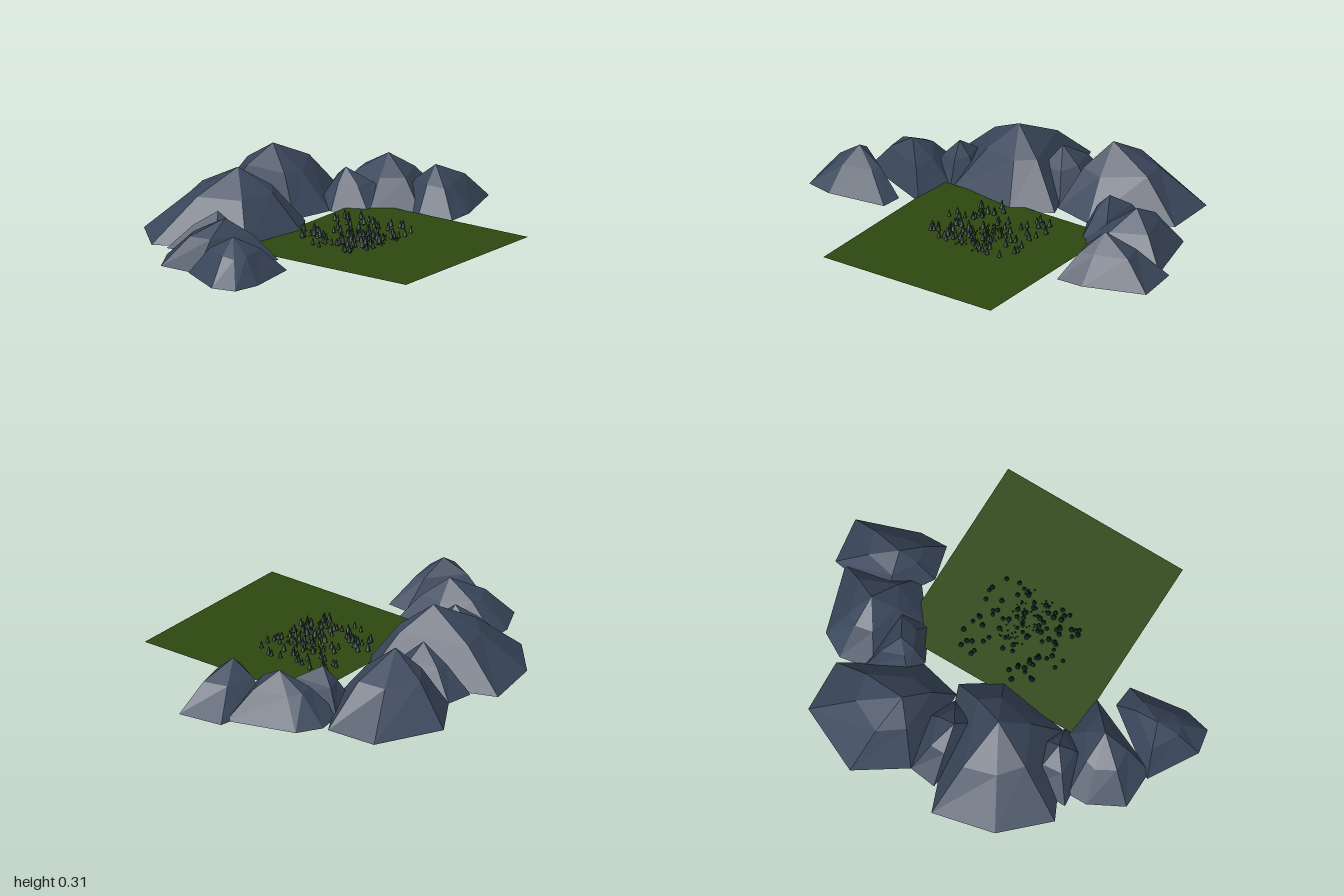
import * as THREE from 'three';
import { mergeGeometries } from 'three/addons/utils/BufferGeometryUtils.js';

const GROUND_Y = 0.018;

// Each mountain: peak [x, y, z] and the corners [x, z] of its foot
const MOUNTAINS = [
  { name: 'largeBackLeftMountain', peak: [-0.17, 0.315, -0.36],
    base: [[-0.6, -0.55], [-0.39, -0.75], [-0.08, -0.82], [0.15, -0.2], [-0.03, -0.08], [-0.4, -0.14]] },
  { name: 'largeBackRightMountain', peak: [0.285, 0.3, -0.49],
    base: [[0.12, -0.68], [0.36, -0.84], [0.69, -0.68], [0.7, -0.41], [0.34, -0.2], [0.13, -0.25]] },
  { name: 'middleRock', peak: [0.02, 0.22, -0.45],
    base: [[-0.02, -0.7], [0.12, -0.68], [0.22, -0.42], [0.12, -0.28], [-0.08, -0.3]] },
  { name: 'innerRightRock', peak: [0.47, 0.188, -0.2],
    base: [[0.34, -0.19], [0.42, -0.03], [0.6, 0.03], [0.58, -0.37], [0.37, -0.3]] },
  { name: 'rightMountain', peak: [0.69, 0.222, -0.11],
    base: [[0.43, -0.03], [0.58, 0.16], [0.92, 0.03], [0.82, -0.31], [0.7, -0.38], [0.53, -0.35]] },
  { name: 'frontRightMountain', peak: [0.7, 0.21, 0.16],
    base: [[0.56, 0.36], [0.7, 0.355], [1, 0.25], [0.97, 0.02], [0.66, -0.03], [0.52, 0.19]] },
  { name: 'frontLeftMountain', peak: [-0.79, 0.198, 0.07],
    base: [[-0.55, 0.21], [-0.84, 0.25], [-0.975, 0.22], [-1, 0.1], [-0.86, -0.14], [-0.54, 0.1]] },
  { name: 'leftMountain', peak: [-0.61, 0.215, -0.11],
    base: [[-0.85, -0.31], [-0.68, -0.4], [-0.58, -0.4], [-0.42, -0.15], [-0.44, 0.08], [-0.85, -0.1]] },
  { name: 'innerLeftRock', peak: [-0.45, 0.182, -0.27],
    base: [[-0.6, -0.46], [-0.4, -0.46], [-0.33, -0.25], [-0.4, -0.12], [-0.57, -0.2]] },
];

function seeded(seed) {
  return () => {
    seed = (seed * 16807) % 2147483647;
    return seed / 2147483647;
  };
}

// Faceted peak: foot, an uneven shoulder ring, a summit and a flat underside
function mountainGeometry({ peak, base }, random) {
  const [px, py, pz] = peak;
  const angle = ([x, z]) => Math.atan2(z - pz, x - px);
  const outline = [...base].sort((a, b) => angle(a) - angle(b));
  const foot = outline.map(([x, z]) => [x, 0, z]);
  const ring = outline.map(([x, z]) => {
    const reach = 0.47 + random() * 0.09;
    const height = 0.58 + random() * 0.08;
    return [px + (x - px) * reach, py * height, pz + (z - pz) * reach];
  });
  const points = [];
  foot.forEach((a, i) => {
    const j = (i + 1) % foot.length;
    points.push(a, ring[i], foot[j]);
    points.push(ring[i], ring[j], foot[j]);
    points.push(ring[i], peak, ring[j]);
    points.push(a, foot[j], [px, 0, pz]);
  });
  const geometry = new THREE.BufferGeometry();
  geometry.setAttribute('position', new THREE.Float32BufferAttribute(points.flat(), 3));
  geometry.computeVertexNormals();
  return geometry;
}

// Conifer of unit height: short trunk and three stacked cones
function treeGeometry() {
  const parts = [new THREE.CylinderGeometry(0.06, 0.06, 0.25, 5).translate(0, 0.125, 0)];
  [[0.27, 0.42, 0.36], [0.21, 0.38, 0.59], [0.14, 0.34, 0.83]].forEach(([r, h, y]) =>
    parts.push(new THREE.ConeGeometry(r, h, 7).translate(0, y, 0)));
  return mergeGeometries(parts);
}

export function createModel() {
  const model = new THREE.Group();
  const random = seeded(4217);
  const rock = new THREE.MeshStandardMaterial({ color: 0x3a475b });
  rock.name = 'slate rock';
  const grass = new THREE.MeshStandardMaterial({ color: 0x2e4710, side: THREE.DoubleSide });
  grass.name = 'dark grass';
  const foliage = new THREE.MeshStandardMaterial({ color: 0x081f18 });
  foliage.name = 'deep pine';

  // Ring of mountains
  const range = new THREE.Group();
  range.name = 'mountainRange';
  for (const spec of MOUNTAINS) {
    const mesh = new THREE.Mesh(mountainGeometry(spec, random), rock);
    mesh.name = spec.name;
    range.add(mesh);
  }
  model.add(range);

  // Meadow
  const meadow = new THREE.Mesh(new THREE.PlaneGeometry(0.97, 0.975).rotateX(-Math.PI / 2), grass);
  meadow.name = 'meadow';
  meadow.position.set(0.03, GROUND_Y, 0.3525);
  model.add(meadow);

  // Forest: scattered pines plus a dense thicket of saplings
  const tree = treeGeometry();
  const forest = new THREE.Group();
  forest.name = 'forest';
  const scatter = (name, count, [x0, x1], [z0, z1], size) => {
    for (let i = 0; i < count; i++) {
      const mesh = new THREE.Mesh(tree, foliage);
      mesh.name = name;
      mesh.position.set(x0 + (x1 - x0) * random(), GROUND_Y, z0 + (z1 - z0) * random());
      mesh.scale.setScalar(size * (0.75 + 0.35 * random()));
      mesh.rotation.y = random() * Math.PI;
      forest.add(mesh);
    }
  };
  scatter('pine', 14, [-0.22, -0.1], [0.1, 0.38], 0.045);
  scatter('pine', 38, [-0.16, 0.03], [-0.07, 0.38], 0.048);
  scatter('pine', 16, [0.02, 0.13], [0.02, 0.38], 0.045);
  scatter('pine', 26, [0.12, 0.29], [-0.05, 0.38], 0.045);
  scatter('sapling', 70, [-0.02, 0.12], [0.1, 0.39], 0.016);
  model.add(forest);

  return model;
}
